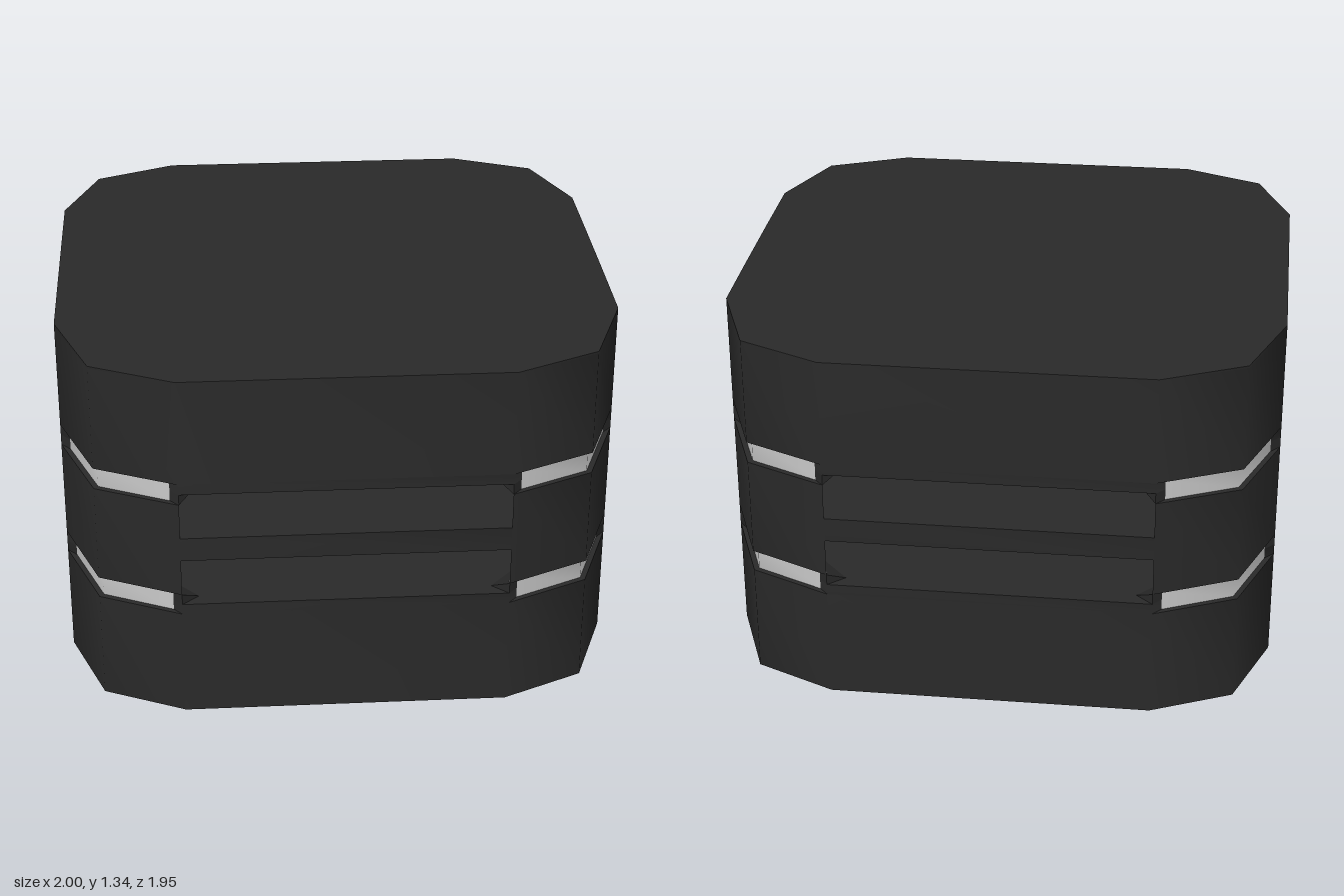
import * as THREE from 'three';
import { toCreasedNormals } from 'three/addons/utils/BufferGeometryUtils.js';

const dark = new THREE.MeshStandardMaterial({ color: 0x2a2a2a });
const grey = new THREE.MeshStandardMaterial({ color: 0xcccccc });

// One rounded corner, from the front face round to the side face (x, z)
const corner = [[0.58, 0.975], [0.875, 0.84], [1, 0.51]];
const signs = [[1, 1], [1, -1], [-1, -1], [-1, 1]];
const place = (pts, sx, sz) => pts.map(([x, z]) => [x * sx, z * sz]);

// Joins the four mirrored corners into a closed outline
function outline(pts) {
  return signs.flatMap(([sx, sz]) => {
    const p = place(pts, sx, sz);
    return sx * sz < 0 ? p.reverse() : p;
  });
}

// Upright prism over an (x, z) outline
function prism(name, pts, y0, y1, material = dark) {
  const shape = new THREE.Shape(pts.map(([x, z]) => new THREE.Vector2(x, -z)));
  const geo = new THREE.ExtrudeGeometry(shape, { depth: y1 - y0, bevelEnabled: false });
  geo.rotateX(-Math.PI / 2).translate(0, y0, 0);
  const mesh = new THREE.Mesh(toCreasedNormals(geo, 0.9), material);
  mesh.name = name;
  return mesh;
}

// Sloping fillet along the inner side of a corner post
function fillet(sx, sz, y, rise) {
  let [a, , b] = place(corner, sx, sz).map(([x, z]) => new THREE.Vector3(x, y, z));
  if (sx * sz < 0) [a, b] = [b, a];
  const along = b.clone().sub(a);
  const length = along.length();
  along.normalize();
  const up = new THREE.Vector3(0, 1, 0);
  const inward = up.clone().cross(along);
  const shape = new THREE.Shape([[0, 0], [0.08, 0], [0, rise]].map(p => new THREE.Vector2(...p)));
  const geo = new THREE.ExtrudeGeometry(shape, { depth: length, bevelEnabled: false });
  geo.applyMatrix4(new THREE.Matrix4().makeBasis(inward, up, along).setPosition(a));
  const mesh = new THREE.Mesh(geo, dark);
  mesh.name = 'cornerFillet';
  return mesh;
}

// Shallow crown, curved from front to back
function crown() {
  const stations = [[-0.975, 0.58], [-0.84, 0.875], [-0.51, 1], [-0.18, 1],
    [0.18, 1], [0.51, 1], [0.84, 0.875], [0.975, 0.58]];
  const pos = [], index = [];
  stations.forEach(([z, w], i) => {
    const y = 1.33 + 0.01 * (1 - (z / 0.975) ** 2);
    pos.push(-w, 1.325, z, -w, y, z, w, y, z, w, 1.325, z);
    if (i === 0) return;
    for (let k = 0; k < 3; k++) {
      const a = (i - 1) * 4 + k, b = i * 4 + k;
      index.push(a, b, a + 1, a + 1, b, b + 1);
    }
  });
  const geo = new THREE.BufferGeometry();
  geo.setAttribute('position', new THREE.Float32BufferAttribute(pos, 3));
  geo.setIndex(index);
  const mesh = new THREE.Mesh(toCreasedNormals(geo, 0.9), dark);
  mesh.name = 'topCrown';
  return mesh;
}

export function createModel() {
  const model = new THREE.Group();
  model.name = 'slottedBlock';
  const full = outline(corner);
  const cut = outline([corner[0], corner[2]]);

  // Thick slabs, with raised areas between the corner posts
  model.add(prism('bottomSlab', full, 0, 0.41));
  model.add(prism('topSlab', full, 0.935, 1.33));
  model.add(crown());
  model.add(prism('lowerFloor', cut, 0.41, 0.45));
  model.add(prism('middleShelf', cut, 0.63, 0.72));
  model.add(prism('upperCeiling', cut, 0.895, 0.935));

  // Corner posts between inset grey bands
  for (const [sx, sz] of signs) {
    const pts = place(corner, sx, sz);
    const inset = place([[0.58, 0.955], [0.86, 0.825], [0.98, 0.51]], sx, sz);
    model.add(prism('cornerPost', pts, 0.49, 0.855));
    model.add(prism('lowerBand', inset, 0.41, 0.49, grey));
    model.add(prism('upperBand', inset, 0.855, 0.935, grey));
    model.add(fillet(sx, sz, 0.45, 0.04));
    model.add(fillet(sx, sz, 0.895, -0.04));
  }

  // Closed side
  const wall = new THREE.Mesh(new THREE.BoxGeometry(0.02, 0.525, 1.02), dark);
  wall.name = 'sideWall';
  wall.position.set(-0.99, 0.6725, 0);
  model.add(wall);
  return model;
}
